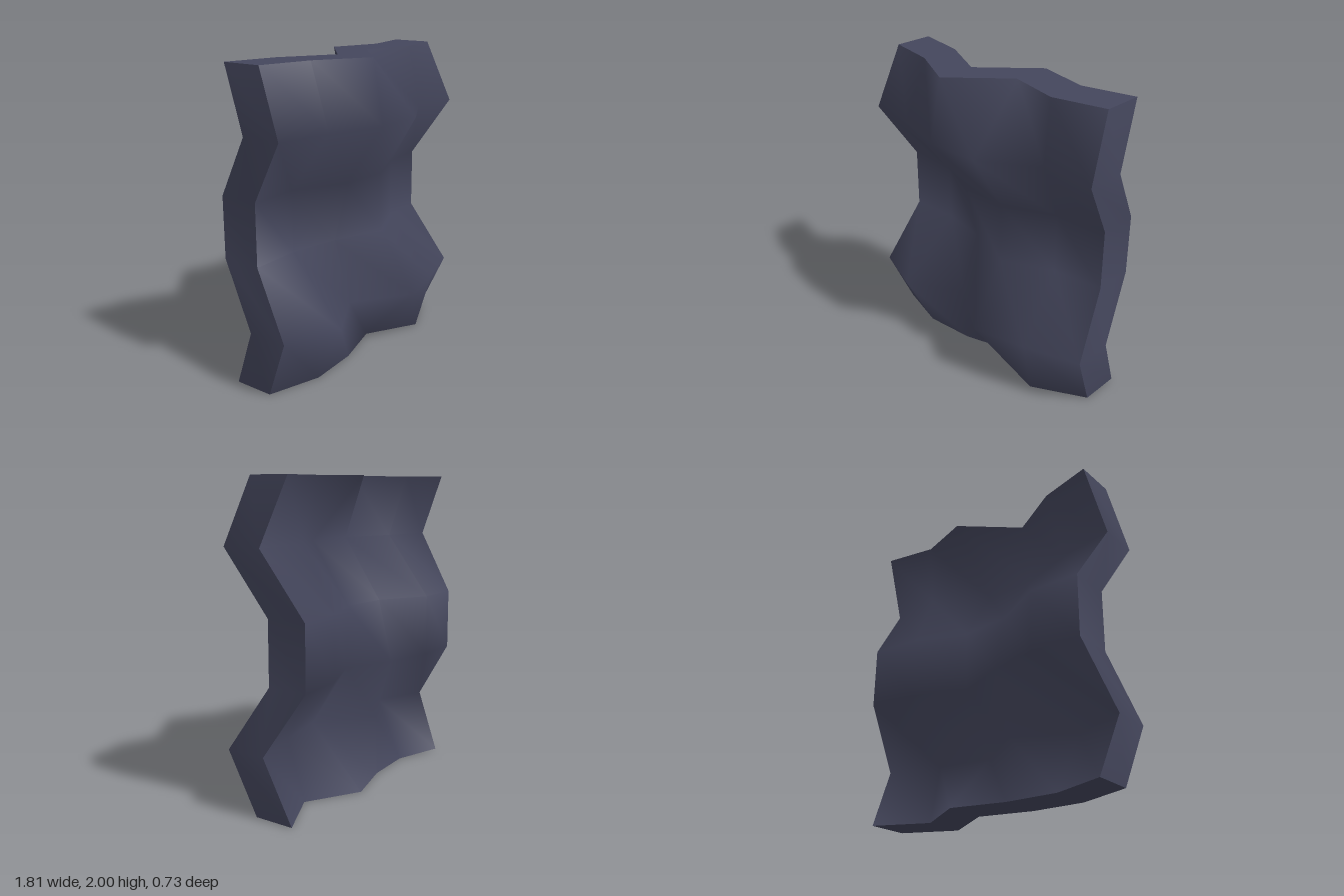
import * as THREE from 'three';

// Front depth (z) of the wavy slab: rows from top to bottom, columns from -x to +x
const DEPTH = [
  [0.00, 0.08, 0.27, -0.03, 0.07, 0.00],
  [0.17, 0.23, 0.35, 0.35, 0.14, 0.17],
  [-0.09, -0.10, 0.07, 0.09, -0.05, -0.09],
  [-0.09, -0.10, -0.03, 0.10, -0.05, -0.09],
  [0.17, 0.31, 0.10, 0.36, 0.28, 0.17],
  [0.00, 0.106, 0.08, -0.02, 0.175, 0.00],
];
const HALF_WIDTH = [0.86, 0.905, 0.835, 0.835, 0.905, 0.86]; // per row
const THICKNESS = 0.265;
const N = 5; // segments along width and height

// Corner of the slab lattice; back is 0 for the front skin and 1 for the back skin
function corner(col, row, back) {
  return [
    (col / N * 2 - 1) * HALF_WIDTH[row],
    2 - row * 2 / N,
    DEPTH[row][col] - back * THICKNESS,
  ];
}

// Smooth patch: u runs right and v runs down as seen from outside
function patch(nu, nv, point) {
  const positions = [], index = [];
  for (let v = 0; v <= nv; v++)
    for (let u = 0; u <= nu; u++) positions.push(...point(u, v));
  for (let v = 0; v < nv; v++)
    for (let u = 0; u < nu; u++) {
      const a = v * (nu + 1) + u, b = a + 1, c = a + nu + 1, d = c + 1;
      index.push(a, c, d, a, d, b);
    }
  const geometry = new THREE.BufferGeometry();
  geometry.setAttribute('position', new THREE.Float32BufferAttribute(positions, 3));
  geometry.setIndex(index);
  geometry.computeVertexNormals();
  return geometry;
}

export function createModel() {
  const slate = new THREE.MeshStandardMaterial({ color: 0x44465c });
  slate.name = 'darkSlate';

  const group = new THREE.Group();
  group.name = 'wavySlab';

  // Six skins, each smooth in itself with sharp borders between them
  const skins = {
    frontFace: patch(N, N, (u, v) => corner(u, v, 0)),
    backFace: patch(N, N, (u, v) => corner(N - u, v, 1)),
    leftEdge: patch(1, N, (u, v) => corner(N, v, u)),
    rightEdge: patch(1, N, (u, v) => corner(0, v, 1 - u)),
    topEdge: patch(N, 1, (u, v) => corner(u, 0, 1 - v)),
    bottomEdge: patch(N, 1, (u, v) => corner(u, N, v)),
  };
  for (const [name, geometry] of Object.entries(skins)) {
    const mesh = new THREE.Mesh(geometry, slate);
    mesh.name = name;
    group.add(mesh);
  }
  return group;
}
